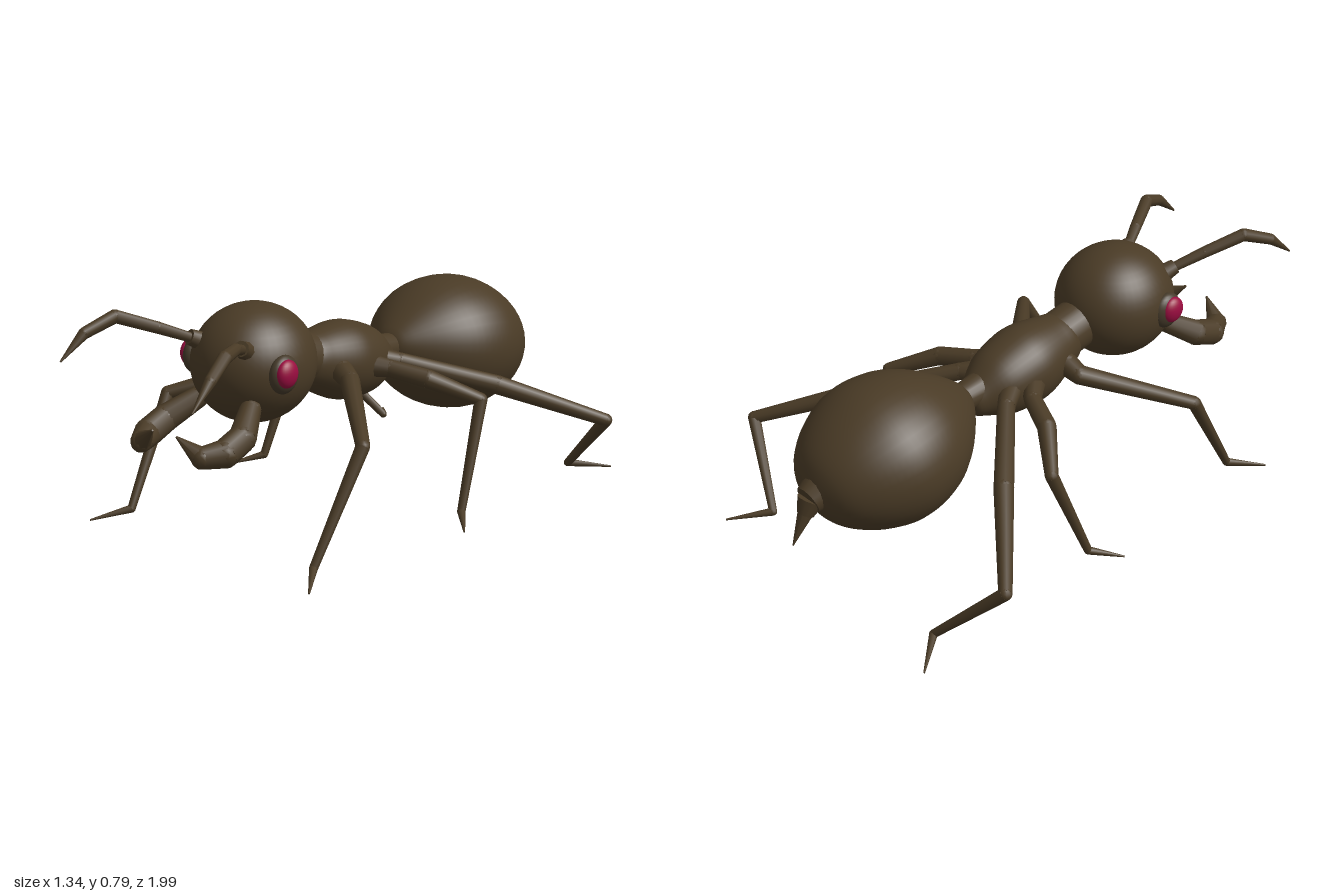
import * as THREE from 'three';

const bodyBrown = new THREE.MeshStandardMaterial({ name: 'body brown', color: 0x4a3b26 });
const socketBrown = new THREE.MeshStandardMaterial({ name: 'socket brown', color: 0x453a2a });
const eyeRed = new THREE.MeshStandardMaterial({ name: 'eye red', color: 0x9a0d40 });
const UP = new THREE.Vector3(0, 1, 0);

const add = (parent, name, geometry, material = bodyBrown) => {
  const mesh = new THREE.Mesh(geometry, material);
  mesh.name = name;
  parent.add(mesh);
  return mesh;
};

// Ellipsoid at a position
function ellipsoid(parent, name, p, r, material, seg = 32) {
  const m = add(parent, name, new THREE.SphereGeometry(1, seg, seg / 2), material);
  m.position.set(...p);
  m.scale.set(...r);
  return m;
}

// Turned body from a to b; profile holds [radius, fraction along the axis]
function turned(parent, name, a, b, profile, widthScale = 1) {
  const start = new THREE.Vector3(...a);
  const axis = new THREE.Vector3(...b).sub(start);
  const len = axis.length();
  const curve = new THREE.SplineCurve(profile.map(([r, t]) => new THREE.Vector2(r, t * len)));
  const pts = curve.getPoints(profile.length * 4);
  pts.forEach((p) => { p.x = Math.max(p.x, 0); });
  const m = add(parent, name, new THREE.LatheGeometry(pts, 40));
  m.position.copy(start);
  m.quaternion.setFromUnitVectors(UP, axis.normalize());
  m.scale.x = widthScale;
  return m;
}

// Tapered segment between two points
function segment(parent, name, a, b, ra, rb, sides = 10) {
  const p = new THREE.Vector3(...a), q = new THREE.Vector3(...b);
  const dir = q.clone().sub(p);
  const m = add(parent, name, new THREE.CylinderGeometry(rb, ra, dir.length(), sides));
  m.position.copy(p).add(q).multiplyScalar(0.5);
  m.quaternion.setFromUnitVectors(UP, dir.normalize());
  return m;
}

// Chain of tapered segments with round joints; joints hold [x, y, z, radius]
function limb(parent, name, joints) {
  const group = new THREE.Group();
  group.name = name;
  parent.add(group);
  joints.forEach((j, i) => {
    const p = j.slice(0, 3);
    if (i < joints.length - 1) {
      const n = joints[i + 1];
      segment(group, 'segment', p, n.slice(0, 3), j[3], n[3]);
      ellipsoid(group, 'joint', p, [j[3], j[3], j[3]], bodyBrown, 12);
    }
  });
  return group;
}

export function createModel() {
  const ant = new THREE.Group();
  ant.name = 'ant';

  // Head, neck, thorax and waist
  ellipsoid(ant, 'head', [0, 0.585, 0.41], [0.2, 0.195, 0.21], bodyBrown, 48);
  segment(ant, 'neck', [0, 0.56, 0.25], [0, 0.535, 0.12], 0.085, 0.085, 24);
  turned(ant, 'thorax', [0, 0.54, 0.19], [0, 0.45, -0.26],
    [[0, 0], [0.075, 0.02], [0.105, 0.17], [0.132, 0.38], [0.133, 0.54], [0.115, 0.74], [0.075, 0.9], [0.045, 1], [0, 1]]);
  segment(ant, 'waist', [0, 0.49, -0.18], [0, 0.48, -0.32], 0.06, 0.045, 20);

  // Abdomen with stinger
  turned(ant, 'abdomen', [0, 0.49, -0.275], [0, 0.385, -0.93],
    [[0, 0], [0.055, 0.02], [0.15, 0.17], [0.212, 0.33], [0.236, 0.5], [0.226, 0.65], [0.18, 0.81], [0.11, 0.93], [0, 1]], 1.14);
  segment(ant, 'stingerBase', [0, 0.41, -0.86], [0, 0.385, -0.93], 0.075, 0.05, 14);
  segment(ant, 'stingerRoot', [0, 0.385, -0.92], [0, 0.34, -0.945], 0.045, 0.028, 12);
  segment(ant, 'stinger', [0, 0.37, -0.93], [0, 0.245, -1.0], 0.032, 0.002, 12);

  for (const s of [1, -1]) {
    const side = s > 0 ? 'left' : 'right';
    const at = (points, dz = 0) => points.map(([x, y, z, r], i) => [s * x, y, z + (i ? dz : 0), r]);
    const dz = s > 0 ? 0 : -0.03; // the right feet trail slightly

    // Eyes
    ellipsoid(ant, side + 'EyeSocket', [s * 0.185, 0.59, 0.475], [0.034, 0.063, 0.06], socketBrown);
    ellipsoid(ant, side + 'Eye', [s * 0.205, 0.597, 0.483], [0.027, 0.046, 0.044], eyeRed);

    // Legs
    limb(ant, side + 'FrontLeg', at([[0.1, 0.5, 0.09, 0.04], [0.16, 0.485, 0.12, 0.033], [0.435, 0.385, 0.39, 0.023],
      [0.41, 0.035, 0.6, 0.014], [0.49, 0.008, 0.715, 0.003]], dz));
    limb(ant, side + 'MiddleLeg', at([[0.1, 0.485, -0.06, 0.04], [0.16, 0.48, -0.09, 0.03], [0.28, 0.455, -0.14, 0.032],
      [0.42, 0.385, -0.25, 0.022], [0.45, 0.035, -0.11, 0.014], [0.53, 0.008, -0.02, 0.003]], dz));
    limb(ant, side + 'HindLeg', at([[0.07, 0.49, -0.13, 0.04], [0.13, 0.48, -0.18, 0.03], [0.37, 0.39, -0.41, 0.033],
      [0.65, 0.26, -0.66, 0.022], [0.43, 0.033, -0.765, 0.014], [0.53, 0.008, -0.89, 0.003]], dz));

    // Antennae, the right one raised higher
    segment(ant, side + 'AntennaSocket', [s * 0.09, 0.66, 0.54], [s * 0.11, 0.685, 0.59], 0.034, 0.026);
    limb(ant, side + 'Antenna', at(s > 0
      ? [[0.1, 0.675, 0.57, 0.016], [0.15, 0.705, 0.66, 0.02], [0.235, 0.725, 0.8, 0.022], [0.268, 0.68, 0.9, 0.019], [0.277, 0.602, 0.99, 0.003]]
      : [[0.1, 0.675, 0.57, 0.016], [0.16, 0.725, 0.68, 0.02], [0.227, 0.775, 0.8, 0.022], [0.262, 0.735, 0.9, 0.019], [0.277, 0.66, 0.99, 0.003]]));

    // Mandibles
    limb(ant, side + 'Mandible', at([[0.11, 0.48, 0.55, 0.035], [0.165, 0.42, 0.65, 0.045], [0.165, 0.39, 0.73, 0.046],
      [0.13, 0.385, 0.795, 0.036], [0.05, 0.445, 0.825, 0.003]]));
  }
  return ant;
}
